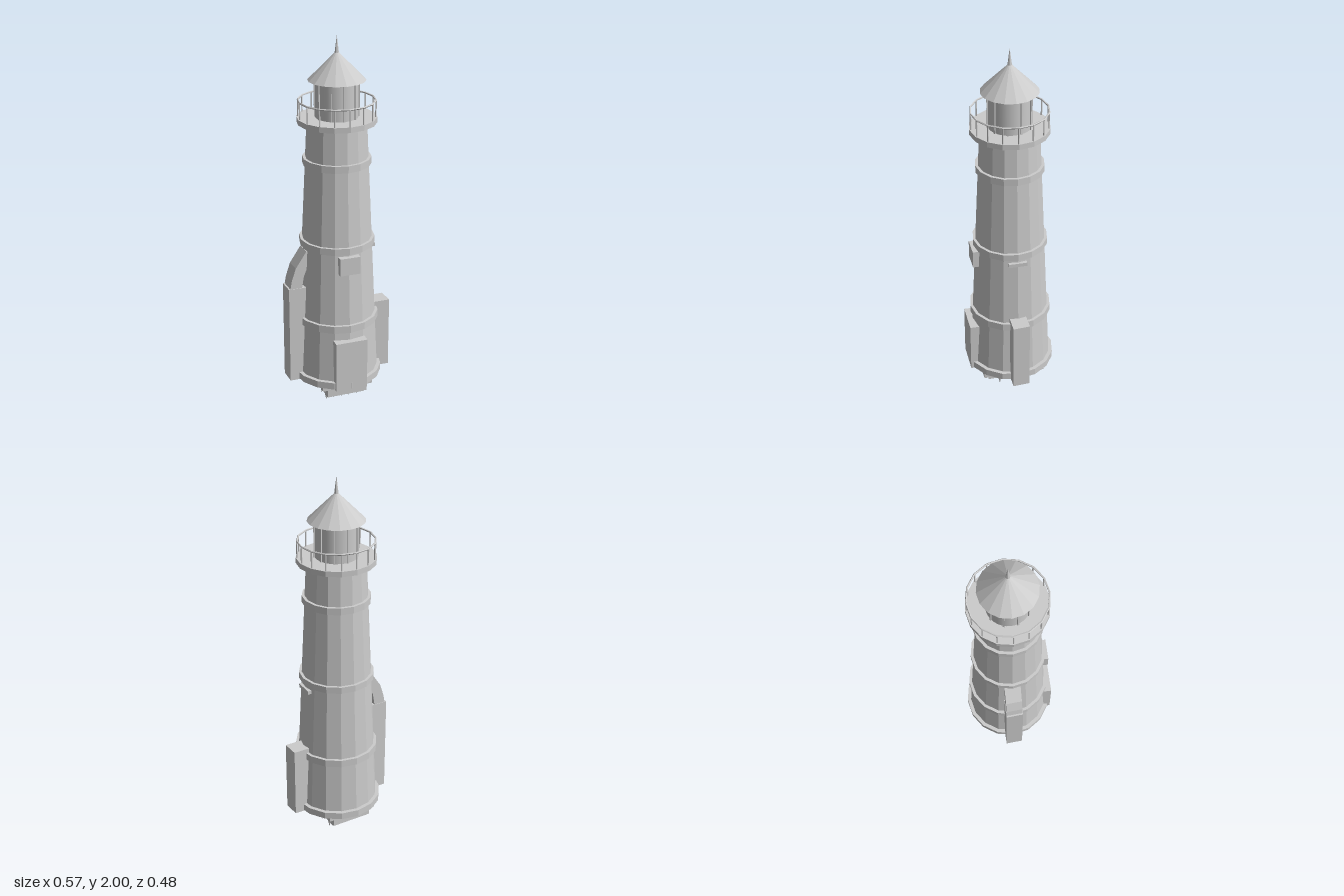
import * as THREE from 'three';

const SIDES = 16;

export function createModel() {
  const model = new THREE.Group();
  const flat = new THREE.MeshStandardMaterial({ color: 0xcccccc, flatShading: true });
  const smooth = new THREE.MeshStandardMaterial({ color: 0xcccccc, side: THREE.DoubleSide });

  const add = (name, geometry, x = 0, y = 0, z = 0, material = flat, parent = model) => {
    const mesh = new THREE.Mesh(geometry, material);
    mesh.name = name;
    mesh.position.set(x, y, z);
    parent.add(mesh);
    return mesh;
  };
  const group = (name) => {
    const g = new THREE.Group();
    g.name = name;
    model.add(g);
    return g;
  };
  // Faceted drum between two heights
  const drum = (name, y0, y1, r0, r1 = r0, sides = SIDES) =>
    add(name, new THREE.CylinderGeometry(r1, r0, y1 - y0, sides), 0, (y0 + y1) / 2, 0);
  // Box given by its limits
  const block = (name, x0, x1, y0, y1, z0, z1) =>
    add(name, new THREE.BoxGeometry(x1 - x0, y1 - y0, z1 - z0),
      (x0 + x1) / 2, (y0 + y1) / 2, (z0 + z1) / 2);
  // Slight skew so the outer face of a side part is not quite square
  const skew = (mesh) => {
    const p = mesh.geometry.attributes.position;
    for (let i = 0; i < p.count; i++) p.setX(i, p.getX(i) + 0.06 * p.getZ(i));
    mesh.geometry.computeVertexNormals();
  };

  // Tapered tower with its bands
  drum('tower', 0.14, 1.57, 0.222, 0.153);
  drum('baseBand', 0.145, 0.183, 0.24);
  drum('lowerBand', 0.47, 0.51, 0.22);
  drum('middleBand', 0.907, 0.943, 0.198);
  drum('upperBand', 1.343, 1.38, 0.177);

  // Gallery floor and railing
  drum('galleryFloor', 1.56, 1.588, 0.204);
  const railing = group('railing');
  const railR = 0.196;
  for (let i = 0; i < SIDES; i++) {
    const a = (i / SIDES) * Math.PI * 2;
    add('railingPost', new THREE.CylinderGeometry(0.004, 0.004, 0.09, 5),
      Math.sin(a) * railR, 1.63, Math.cos(a) * railR, flat, railing);
  }
  add('handrail', new THREE.TorusGeometry(railR, 0.005, 5, SIDES), 0, 1.674, 0, flat, railing)
    .rotation.x = Math.PI / 2;

  // Lantern room
  add('lanternGlass', new THREE.CylinderGeometry(0.109, 0.109, 0.2, 32, 1, true), 0, 1.685, 0, smooth);
  const bars = group('lanternBars');
  for (let i = 0; i < 10; i++) {
    const a = (i / 10) * Math.PI * 2;
    const bar = add('lanternBar', new THREE.BoxGeometry(0.008, 0.195, 0.008),
      Math.sin(a) * 0.111, 1.685, Math.cos(a) * 0.111, flat, bars);
    bar.rotation.y = a;
  }

  // Roof and spire
  add('roof', new THREE.ConeGeometry(0.147, 0.148, SIDES), 0, 1.85, 0);
  add('spire', new THREE.ConeGeometry(0.013, 0.1, 8), 0, 1.95, 0);

  // Door, window and small ledge
  block('door', -0.087, 0.087, 0.14, 0.424, 0.15, 0.239);
  block('window', -0.055, 0.055, 0.80, 0.895, 0.14, 0.21);
  block('sideLedge', 0.14, 0.197, 0.868, 0.888, -0.048, 0.048);

  // Side buttresses
  skew(block('leftButtress', 0.18, 0.284, 0.14, 0.535, -0.045, 0.045));
  skew(block('rightButtress', -0.284, -0.18, 0.14, 0.685, -0.046, 0.046));

  // Curved arm joining the taller buttress to the tower
  const arm = new THREE.Shape();
  arm.moveTo(-0.276, 0.68);
  arm.lineTo(-0.267, 0.73);
  arm.lineTo(-0.244, 0.80);
  arm.lineTo(-0.185, 0.89);
  arm.lineTo(-0.15, 0.89);
  arm.lineTo(-0.18, 0.80);
  arm.lineTo(-0.2, 0.75);
  arm.lineTo(-0.212, 0.68);
  const armGeometry = new THREE.ExtrudeGeometry(arm, { depth: 0.086, bevelEnabled: false });
  armGeometry.translate(0, 0, -0.043);
  skew(add('buttressArm', armGeometry));

  // Stepped underside with a grid of spikes
  block('footPlate', -0.14, 0.14, 0.115, 0.145, -0.175, 0.175);
  block('footBlock', -0.112, 0.112, 0.073, 0.145, -0.17, 0.17);
  block('footSole', -0.104, 0.104, 0.054, 0.08, -0.145, 0.145);
  const spikes = group('footSpikes');
  for (let i = -2; i <= 2; i++) {
    for (let j = -1; j <= 1; j++) {
      add('footSpike', new THREE.ConeGeometry(0.013, 0.057, 6),
        i * 0.044, 0.0285, j * 0.077, flat, spikes).rotation.x = Math.PI;
    }
  }

  return model;
}
